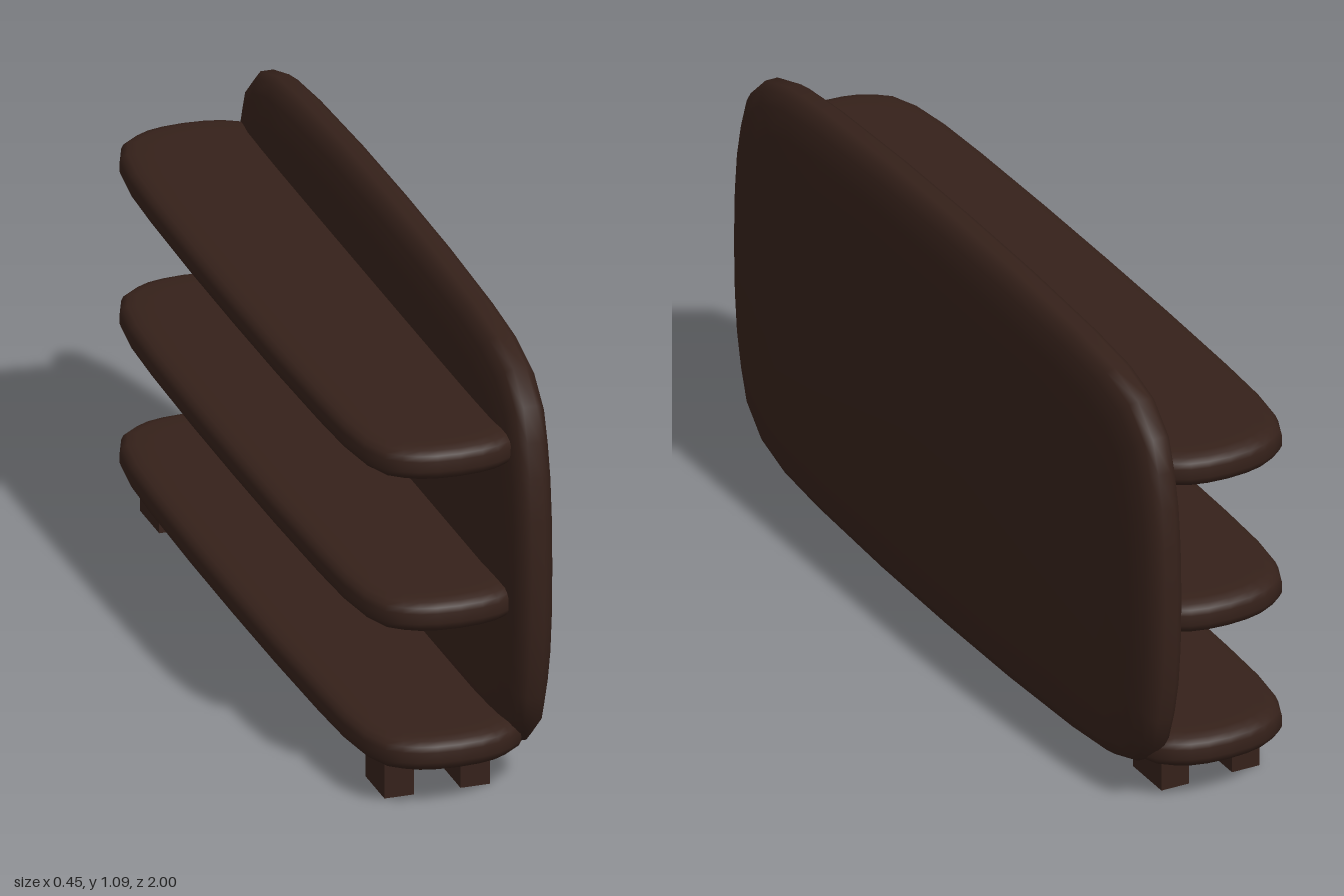
import * as THREE from 'three';

const wood = new THREE.MeshStandardMaterial({ color: 0x35211a });

// Quarter outline of a soft rounded rectangle: [along length, along width]
const QUARTER = [[1, 0], [0.996, 0.25], [0.986, 0.44], [0.967, 0.6], [0.94, 0.75],
  [0.87, 0.875], [0.76, 0.94], [0.6, 0.97], [0.3, 0.994]];

// Full outline by rotating through the four quadrants
function outline() {
  const flip = QUARTER.slice(1).reverse();
  return [
    ...QUARTER, [0, 1],
    ...flip.map(([u, v]) => [-u, v]), [-1, 0],
    ...QUARTER.slice(1).map(([u, v]) => [-u, -v]), [0, -1],
    ...flip.map(([u, v]) => [u, -v]),
  ];
}

// Pillow-edged slab: length on z, width on x, thickness on y.
// edge lists [inset from the rim, fraction of half thickness], rim first.
function slab(halfLength, halfWidth, halfThick, edge) {
  const loop = outline(), n = loop.length, pos = [], idx = [];
  const rings = [
    ...edge.slice().reverse(),
    ...edge.map(([inset, t]) => [inset, -t]),
  ];
  for (const [inset, t] of rings)
    for (const [u, v] of loop)
      pos.push(v * (halfWidth - inset), t * halfThick, u * (halfLength - inset));
  for (let i = 0; i < rings.length - 1; i++)
    for (let j = 0; j < n; j++) {
      const a = i * n + j, b = i * n + (j + 1) % n;
      idx.push(a, a + n, b, b, a + n, b + n);
    }
  // Flat faces
  const top = pos.length / 3, last = (rings.length - 1) * n;
  pos.push(0, halfThick, 0, 0, -halfThick, 0);
  for (let j = 0; j < n; j++) {
    const k = (j + 1) % n;
    idx.push(top, j, k, top + 1, last + k, last + j);
  }
  const g = new THREE.BufferGeometry();
  g.setAttribute('position', new THREE.Float32BufferAttribute(pos, 3));
  g.setIndex(idx);
  g.computeVertexNormals();
  return g;
}

export function createModel() {
  const model = new THREE.Group();
  model.name = 'shelfUnit';
  const add = (name, geometry, x, y, z) => {
    const mesh = new THREE.Mesh(geometry, wood);
    mesh.name = name;
    mesh.position.set(x, y, z);
    model.add(mesh);
    return mesh;
  };

  // Upright back panel
  const panelEdge = [[0, 0.25], [0.012, 0.52], [0.04, 0.76], [0.1, 0.92], [0.22, 1]];
  const panel = add('backPanel', slab(1, 0.524, 0.061, panelEdge), 0.162, 0.568, 0);
  panel.rotation.z = Math.PI / 2;

  // Three shelves
  const shelfEdge = [[0, 0.3], [0.005, 0.6], [0.015, 0.84], [0.035, 0.96], [0.08, 1]];
  const shelfGeometry = slab(0.965, 0.216, 0.041, shelfEdge);
  ['bottomShelf', 'middleShelf', 'topShelf'].forEach((name, i) =>
    add(name, shelfGeometry, -0.01, [0.138, 0.48, 0.854][i], 0));

  // Four block legs
  const legGeometry = new THREE.BoxGeometry(0.07, 0.115, 0.132);
  for (const x of [-0.115, 0.066])
    for (const z of [-0.775, 0.775])
      add('leg', legGeometry, x, 0.0575, z);

  return model;
}
